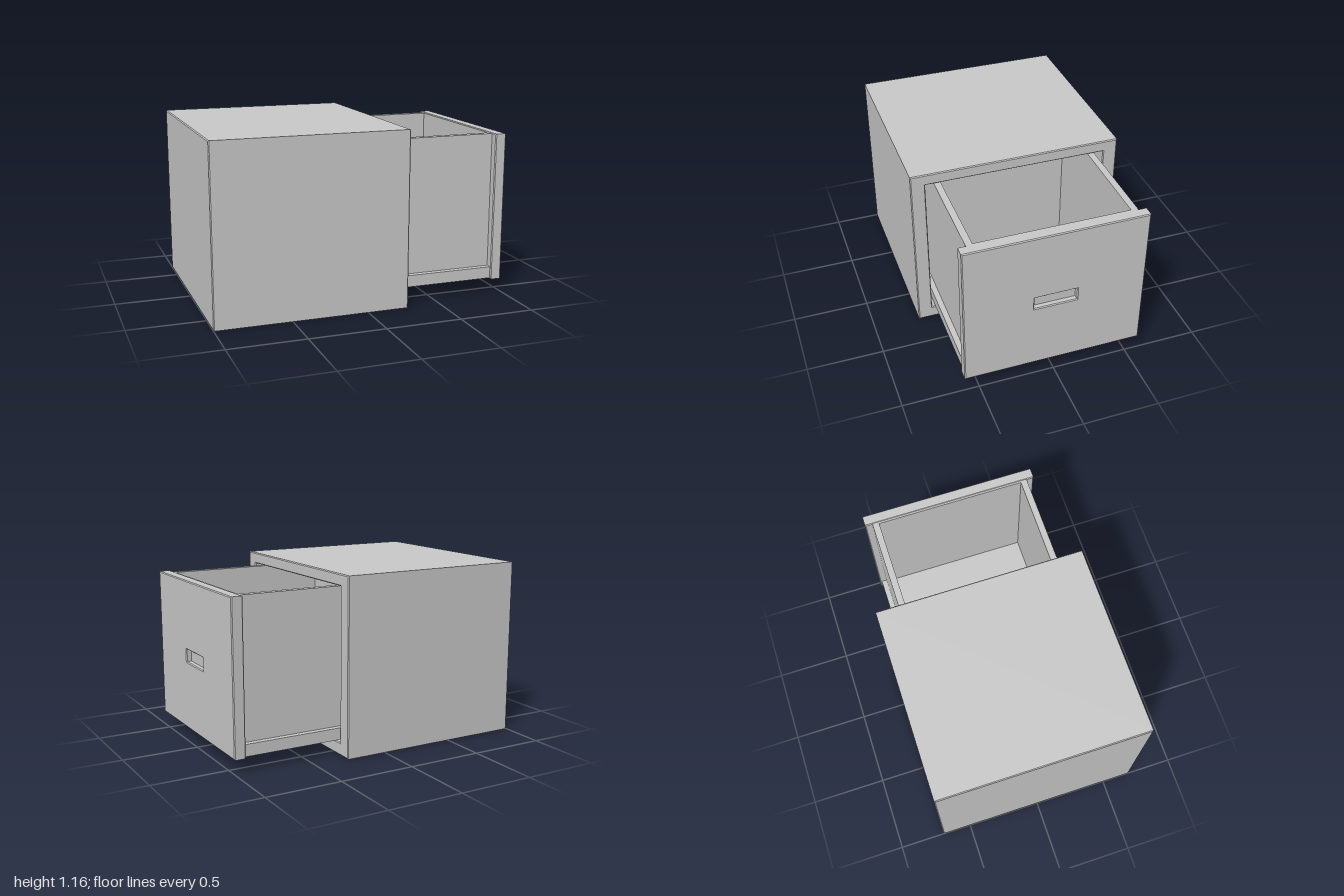
import * as THREE from 'three';

const BEVEL = 0.006;

export function createModel() {
  const group = new THREE.Group();
  const material = new THREE.MeshStandardMaterial({ color: 0xcccccc, flatShading: true });

  function add(parent, name, geometry) {
    const mesh = new THREE.Mesh(geometry, material);
    mesh.name = name;
    parent.add(mesh);
  }

  // Box given by its limits on each axis
  function box(parent, name, [x0, x1], [y0, y1], [z0, z1]) {
    const geometry = new THREE.BoxGeometry(x1 - x0, y1 - y0, z1 - z0);
    geometry.translate((x0 + x1) / 2, (y0 + y1) / 2, (z0 + z1) / 2);
    add(parent, name, geometry);
  }

  function rectangle(target, halfWidth, y0, y1) {
    target.moveTo(-halfWidth, y0);
    target.lineTo(halfWidth, y0);
    target.lineTo(halfWidth, y1);
    target.lineTo(-halfWidth, y1);
    target.closePath();
    return target;
  }

  // Bevelled rectangular frame running along x; each rectangle is [halfWidth, y0, y1]
  function frame(parent, name, x0, x1, outer, hole) {
    const shape = rectangle(new THREE.Shape(), ...outer);
    shape.holes.push(rectangle(new THREE.Path(), ...hole));
    const geometry = new THREE.ExtrudeGeometry(shape, {
      depth: x1 - x0 - 2 * BEVEL, bevelEnabled: true, bevelSegments: 1,
      bevelSize: BEVEL, bevelThickness: BEVEL, bevelOffset: -BEVEL,
    });
    geometry.rotateY(Math.PI / 2);
    geometry.translate(x0 + BEVEL, 0, 0);
    add(parent, name, geometry);
  }

  // Cabinet: open shell closed by a back panel
  const cabinet = new THREE.Group();
  cabinet.name = 'cabinet';
  frame(cabinet, 'cabinetShell', -1, 0.275, [0.695, 0, 1.16], [0.6, 0.083, 1.085]);
  box(cabinet, 'cabinetBack', [-1, -0.92], [0.02, 1.14], [-0.675, 0.675]);

  // Drawer: slotted front, floor slab with side runners, walls
  const drawer = new THREE.Group();
  drawer.name = 'drawer';
  frame(drawer, 'drawerFront', 0.925, 1, [0.592, 0.09, 1.08], [0.14, 0.543, 0.627]);
  box(drawer, 'handleRecessBack', [0.925, 0.965], [0.5, 0.67], [-0.2, 0.2]);
  box(drawer, 'drawerFloor', [-0.2, 0.93], [0.097, 0.175], [-0.58, 0.58]);
  box(drawer, 'innerFront', [0.915, 0.93], [0.175, 1.077], [-0.54, 0.54]);
  for (const side of [1, -1]) {
    box(drawer, side > 0 ? 'frontSideWall' : 'rearSideWall',
      [-0.2, 0.92], [0.175, 1.077], [side * 0.52 - 0.022, side * 0.52 + 0.022]);
  }
  box(drawer, 'drawerBack', [-0.2, -0.155], [0.175, 1.077], [-0.5, 0.5]);

  group.add(cabinet, drawer);
  return group;
}
